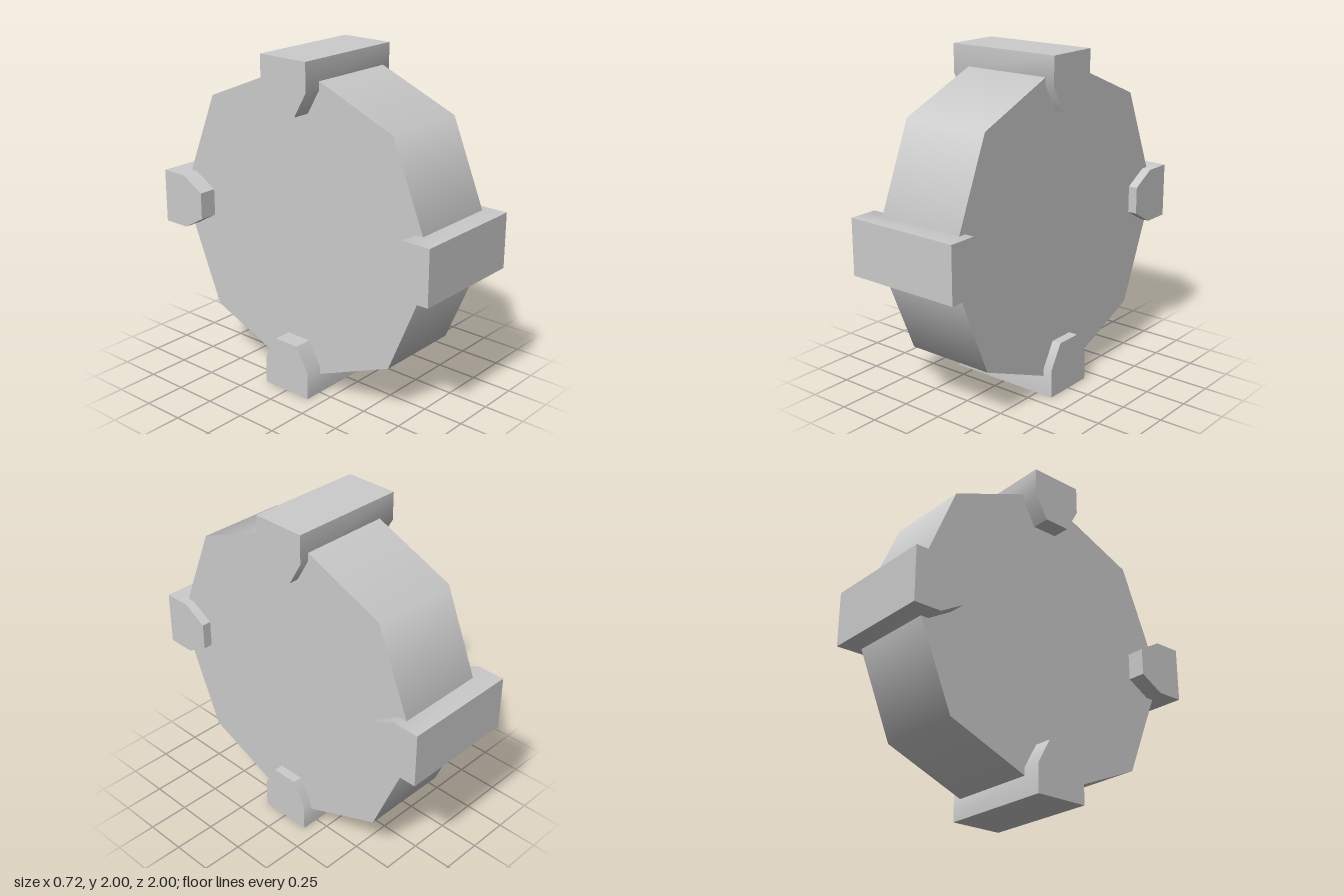
import * as THREE from 'three';
import { toCreasedNormals } from 'three/addons/utils/BufferGeometryUtils.js';

export function createModel() {
  const model = new THREE.Group();
  model.name = 'wheel';
  const material = new THREE.MeshStandardMaterial({ color: 0xcccccc });

  // Eight-sided disc with its axis along x, smooth around the rim
  const discGeometry = new THREE.CylinderGeometry(0.946, 0.946, 0.55, 8);
  discGeometry.rotateZ(Math.PI / 2);
  const disc = new THREE.Mesh(discGeometry, material);
  disc.name = 'disc';
  disc.position.set(0.025, 1, 0);
  model.add(disc);

  // Block profile: square outer end, tapering towards the hub
  const profile = new THREE.Shape([
    [-0.165, 1], [-0.165, 0.83], [-0.082, 0.685],
    [0.082, 0.685], [0.165, 0.83], [0.165, 1],
  ].map(([x, y]) => new THREE.Vector2(x, y)));
  const extruded = new THREE.ExtrudeGeometry(profile, { depth: 0.717, bevelEnabled: false });
  extruded.translate(0, 0, -0.36).rotateY(Math.PI / 2);
  const blockGeometry = toCreasedNormals(extruded, 0.6);

  // Four blocks at quarter turns around the rim
  for (let i = 0; i < 4; i++) {
    const block = new THREE.Mesh(blockGeometry, material);
    block.name = `rimBlock${i + 1}`;
    block.position.y = 1;
    block.rotation.x = (i * Math.PI) / 2;
    model.add(block);
  }
  return model;
}
